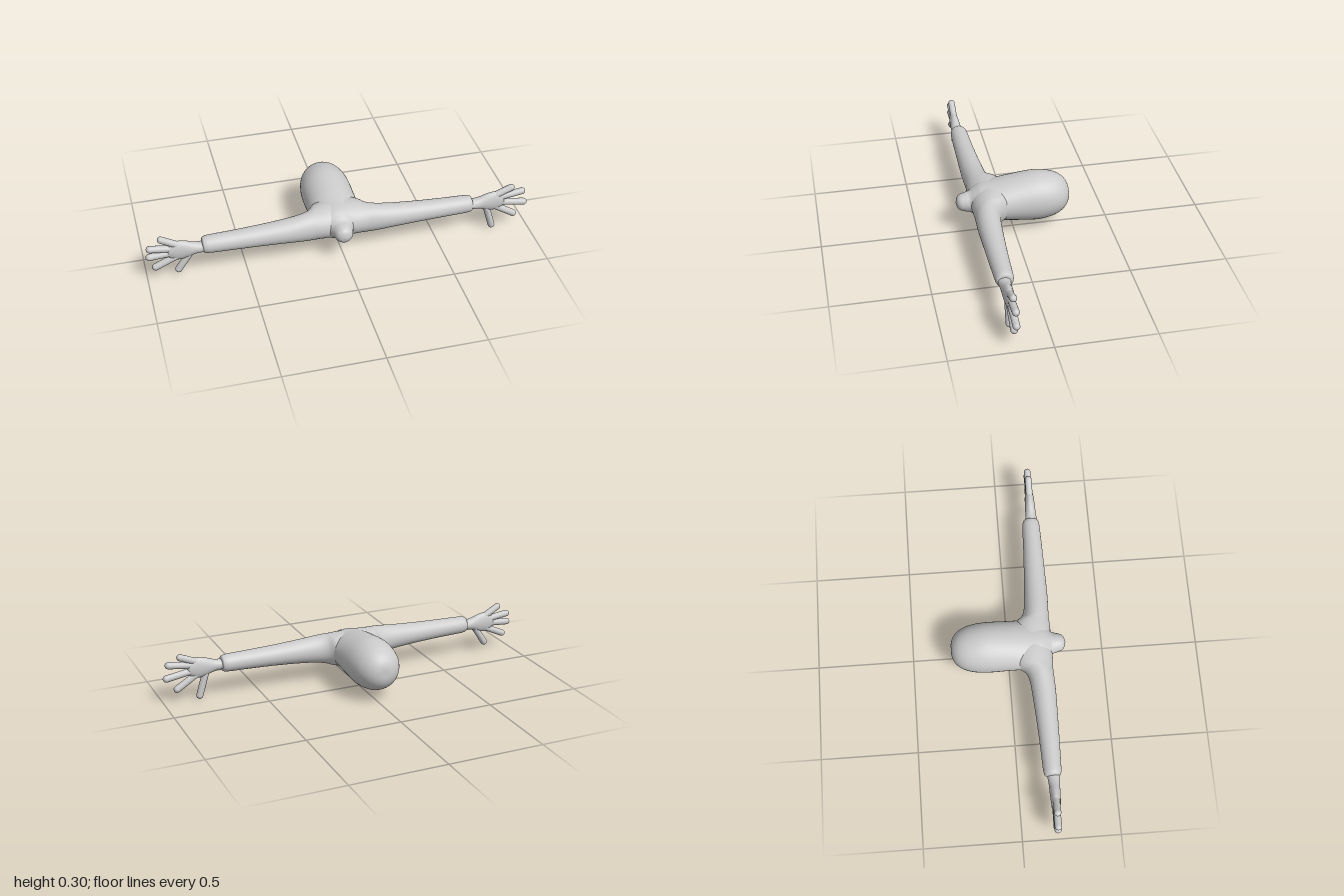
import * as THREE from 'three';

const MID = -0.012; // x of the body's centre line
const material = new THREE.MeshStandardMaterial({ color: 0xcccccc });

// Smooth loft through elliptical sections [t, centreA, halfA, centreB, halfB].
// place(t, a, b) puts a point in space; (t, a, b) must be right handed there.
function loft(name, sections, place, steps = 48, sides = 32) {
  const mix = (k, u) => {
    const i = Math.min(Math.floor(u), sections.length - 2), f = u - i;
    const p = j => sections[Math.max(0, Math.min(sections.length - 1, j))][k];
    const a = p(i - 1), b = p(i), c = p(i + 1), d = p(i + 2);
    return b + 0.5 * f * (c - a + f * (2 * a - 5 * b + 4 * c - d + f * (3 * (b - c) + d - a)));
  };
  const pos = [], index = [];
  for (let i = 0; i <= steps; i++) {
    const u = (i / steps) * (sections.length - 1);
    const [t, ca, ha, cb, hb] = [0, 1, 2, 3, 4].map(k => mix(k, u));
    for (let j = 0; j < sides; j++) {
      const w = (j / sides) * Math.PI * 2;
      pos.push(...place(t, ca + Math.max(ha, 0.0005) * Math.cos(w), cb + Math.max(hb, 0.0005) * Math.sin(w)));
      if (i < steps) {
        const a = i * sides + j, b = i * sides + (j + 1) % sides;
        index.push(a, b, a + sides, b, b + sides, a + sides);
      }
    }
  }
  const geo = new THREE.BufferGeometry();
  geo.setAttribute('position', new THREE.Float32BufferAttribute(pos, 3));
  geo.setIndex(index);
  geo.computeVertexNormals();
  const mesh = new THREE.Mesh(geo, material);
  mesh.name = name;
  return mesh;
}

// Rounded finger between two points in the hand plane
function finger(name, [x0, y0], [x1, y1], z) {
  const a = new THREE.Vector3(x0, y0, z), b = new THREE.Vector3(x1, y1, z);
  const dir = b.clone().sub(a);
  const mesh = new THREE.Mesh(new THREE.CapsuleGeometry(0.018, dir.length(), 8, 16), material);
  mesh.position.copy(a).add(b).multiplyScalar(0.5);
  mesh.quaternion.setFromUnitVectors(new THREE.Vector3(0, 1, 0), dir.normalize());
  mesh.name = name;
  return mesh;
}

const fingerNames = ['indexFinger', 'middleFinger', 'ringFinger', 'littleFinger', 'thumb'];
const hands = {
  left: {
    side: 1, wrist: 0.69, y: 0.172,
    bases: [[0.82, 0.205], [0.83, 0.188], [0.83, 0.162], [0.82, 0.14], [0.775, 0.14]],
    tips: [[0.905, 0.24], [0.967, 0.207], [0.981, 0.137], [0.928, 0.072], [0.812, 0.018]],
  },
  right: {
    side: -1, wrist: 0.712, y: 0.168,
    bases: [[-0.835, 0.2], [-0.85, 0.182], [-0.85, 0.16], [-0.84, 0.137], [-0.785, 0.135]],
    tips: [[-0.918, 0.246], [-0.977, 0.198], [-0.982, 0.15], [-0.955, 0.085], [-0.842, 0.05]],
  },
};

export function createModel() {
  const model = new THREE.Group();

  // Rounded body running back to front, ending in a small head
  const Y = 0.173;
  model.add(loft('bodyAndHead', [
    [-0.296, 0, 0, Y, 0], [-0.294, 0, 0.035, Y, 0.035], [-0.28, 0, 0.068, Y, 0.068],
    [-0.25, 0, 0.097, Y, 0.098], [-0.2, 0, 0.119, Y, 0.12], [-0.12, 0, 0.13, Y, 0.131],
    [0, 0, 0.13, Y, 0.117], [0.1, 0, 0.13, Y, 0.099], [0.165, 0, 0.118, Y, 0.088],
    [0.2, 0, 0.09, Y, 0.07], [0.225, 0, 0.06, Y, 0.054], [0.25, 0, 0.05, Y, 0.049],
    [0.275, 0, 0.042, Y, 0.041], [0.29, 0, 0.026, Y, 0.026], [0.297, 0, 0, Y, 0],
  ].map(s => [s[0], MID, s[2], s[3], s[4]]), (t, a, b) => [a, b, t], 84, 40));

  // Both arms as one span, flared where they meet the body: [x, y half, z back, z front]
  const half = [
    [0, 0.091, 0.0, 0.222], [0.07, 0.089, 0.01, 0.225], [0.115, 0.084, 0.035, 0.224],
    [0.145, 0.079, 0.075, 0.222], [0.19, 0.073, 0.095, 0.224], [0.27, 0.064, 0.104, 0.226],
    [0.4, 0.055, 0.113, 0.224], [0.55, 0.049, 0.121, 0.221], [0.66, 0.046, 0.125, 0.218],
    [0.69, 0.043, 0.129, 0.215], [0.703, 0.034, 0.138, 0.206], [0.708, 0, 0.172, 0.172],
  ];
  const span = [...half.slice(1).reverse().map(([x, ...r]) => [-x, ...r]), ...half];
  model.add(loft('arms', span.map(([x, h, back, front]) =>
    [x + MID, 0.175, h, (back + front) / 2, (front - back) / 2]), (t, a, b) => [t, a, b], 110, 36));

  // Hands: a flattened palm with five fingers
  for (const [name, h] of Object.entries(hands)) {
    const hand = new THREE.Group();
    hand.name = name + 'Hand';
    const Z = 0.176;
    const palm = [
      [-0.03, 0.03, 0.034], [0.01, 0.027, 0.031], [0.045, 0.033, 0.028], [0.085, 0.048, 0.027],
      [0.125, 0.055, 0.025], [0.155, 0.047, 0.022], [0.175, 0.03, 0.017], [0.182, 0, 0],
    ].map(([t, hy, hz]) => [h.side * (h.wrist + t), h.y, hy, Z, hz]);
    if (h.side < 0) palm.reverse();
    hand.add(loft('palm', palm, (t, a, b) => [t, a, b], 32, 24));
    fingerNames.forEach((n, i) => hand.add(finger(n, h.bases[i], h.tips[i], Z)));
    model.add(hand);
  }
  return model;
}
